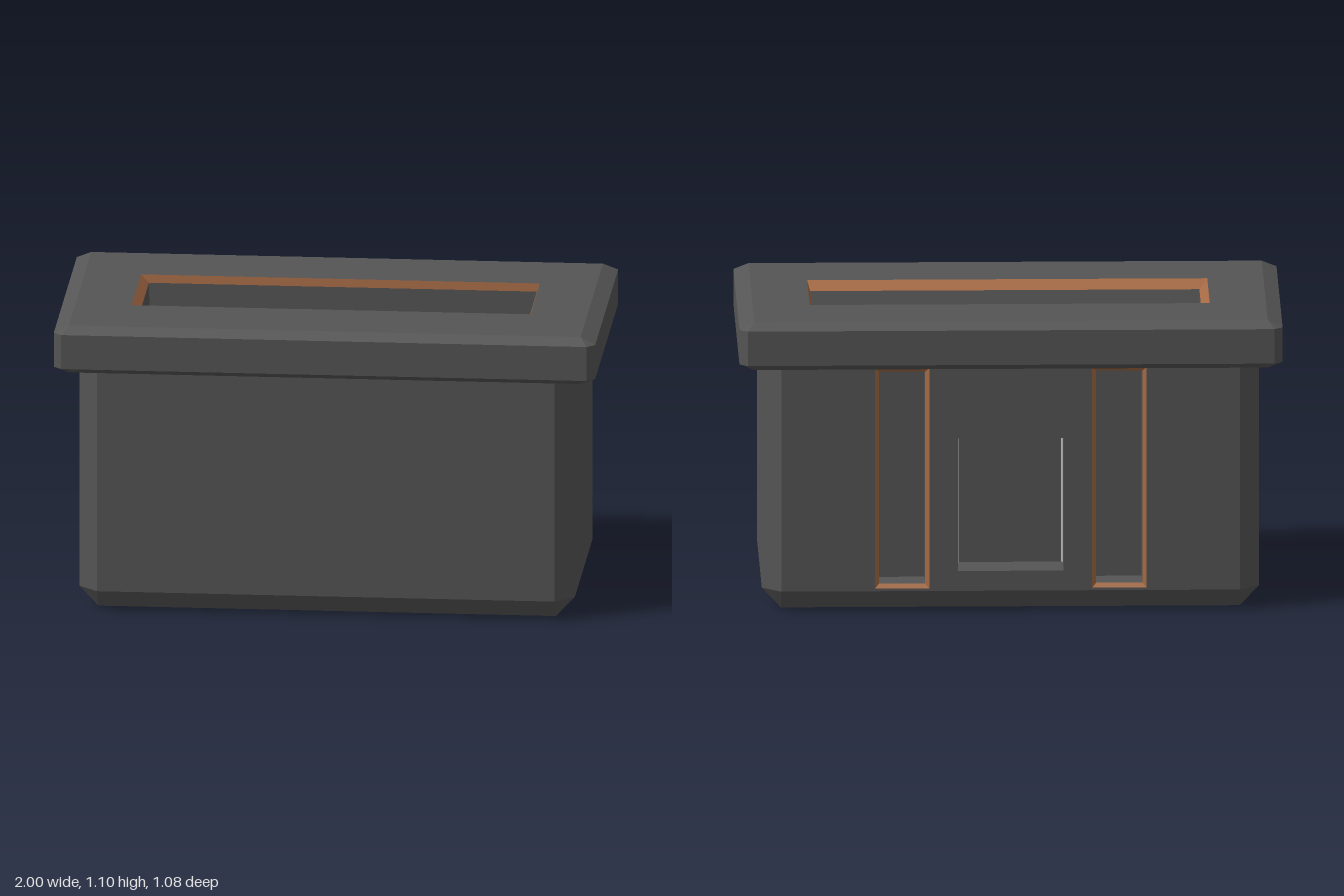
import * as THREE from 'three';

const paint = (color) => new THREE.MeshStandardMaterial({ color, flatShading: true });
const dark = paint(0x555555);
const copper = paint(0xa56a44);
const white = paint(0xffffff);

// Octagonal ring: a rectangle with corners cut by c, at height w
const bevelRing = (hx, hy, c, w) => [
  [-hx + c, -hy, w], [hx - c, -hy, w], [hx, -hy + c, w], [hx, hy - c, w],
  [hx - c, hy, w], [-hx + c, hy, w], [-hx, hy - c, w], [-hx, -hy + c, w],
];

// Plain rectangular ring
const rectRing = (x0, x1, y0, y1, w) => [[x0, y0, w], [x1, y0, w], [x1, y1, w], [x0, y1, w]];

// Joins rings with quads, with optional caps and a test for omitted quads
function loft(rings, { capStart = false, capEnd = false, skip = () => false } = {}) {
  const pos = [];
  for (let r = 0; r < rings.length - 1; r++) {
    const n = rings[r].length;
    for (let i = 0; i < n; i++) {
      if (skip(r, i)) continue;
      const j = (i + 1) % n;
      const a = rings[r][i], b = rings[r][j], c = rings[r + 1][j], d = rings[r + 1][i];
      pos.push(...a, ...b, ...c, ...a, ...c, ...d);
    }
  }
  const fan = (ring) => {
    for (let i = 1; i < ring.length - 1; i++) pos.push(...ring[0], ...ring[i], ...ring[i + 1]);
  };
  if (capStart) fan([...rings[0]].reverse());
  if (capEnd) fan(rings[rings.length - 1]);
  const geo = new THREE.BufferGeometry();
  geo.setAttribute('position', new THREE.Float32BufferAttribute(pos, 3));
  geo.computeVertexNormals();
  return geo;
}

// Flat rectangular panel with rectangular holes
function panel(x0, x1, y0, y1, holes) {
  const corners = (a, b, c, d) => rectRing(a, b, c, d, 0).map(([x, y]) => new THREE.Vector2(x, y));
  const shape = new THREE.Shape(corners(x0, x1, y0, y1));
  for (const h of holes) shape.holes.push(new THREE.Path(corners(...h).reverse()));
  return new THREE.ShapeGeometry(shape);
}

export function createModel() {
  const model = new THREE.Group();
  const add = (parent, name, geo, mat) => {
    const mesh = new THREE.Mesh(geo, mat);
    mesh.name = name;
    parent.add(mesh);
    return mesh;
  };

  // Upright parts are drawn in plan and stood up
  const upright = new THREE.Group();
  upright.name = 'casing';
  upright.rotation.x = -Math.PI / 2;
  model.add(upright);

  // Body with bevelled edges, left open where the back panel fits
  add(upright, 'body', loft([
    bevelRing(0.845, 0.39, 0, 0),
    bevelRing(0.915, 0.46, 0.07, 0.075),
    bevelRing(0.915, 0.46, 0.07, 0.92),
  ], { capStart: true, skip: (r, i) => r === 1 && i === 4 }), dark);

  // Lid rim
  add(upright, 'lidRim', loft([
    bevelRing(0.945, 0.495, 0, 0.92),
    bevelRing(1, 0.54, 0.03, 0.945),
    bevelRing(1, 0.54, 0.03, 1.075),
    bevelRing(0.945, 0.495, 0, 1.1),
  ], { capStart: true }), dark);

  // Lid top with its sunken tray
  const mouth = [-0.738, 0.735, -0.205, 0.21];
  const lip = [-0.708, 0.725, -0.155, 0.205];
  add(upright, 'lidTop', panel(-0.945, 0.945, -0.495, 0.495, [mouth]), dark).position.z = 1.1;
  add(upright, 'trayBevel', loft([rectRing(...mouth, 1.1), rectRing(...lip, 1.07)]), copper);
  add(upright, 'tray', loft([
    rectRing(...lip, 1.07),
    rectRing(-0.706, 0.723, -0.13, 0.203, 0.98),
  ], { capEnd: true }), dark);

  // Back panel, drawn facing +z and turned round
  const back = new THREE.Group();
  back.name = 'back';
  back.rotation.y = Math.PI;
  back.position.z = -0.46;
  model.add(back);

  const grooves = [[-0.5, -0.3, 0.085, 0.915], [0.3, 0.5, 0.085, 0.915]];
  const windowRect = [-0.195, 0.195, 0.15, 0.65];
  add(back, 'backPanel', panel(-0.845, 0.845, 0.075, 0.92, [...grooves, windowRect]), dark);

  // Vertical grooves with coloured bevels
  const b = 0.015;
  for (const g of grooves) {
    const inner = [g[0] + b, g[1] - b, g[2] + b, g[3] - b];
    add(back, 'grooveBevel', loft([rectRing(...g, 0), rectRing(...inner, -b)]), copper);
    add(back, 'groove', loft([rectRing(...inner, -b), rectRing(...inner, -0.13)], { capEnd: true }), dark);
  }

  // Window recess with a light strip down each side
  add(back, 'windowRecess', loft([
    rectRing(...windowRect, 0), rectRing(...windowRect, -0.15),
  ], { capEnd: true }), dark);
  for (const s of [-1, 1]) {
    add(back, 'lightStrip', new THREE.BoxGeometry(0.006, 0.49, 0.03), white)
      .position.set(s * 0.192, 0.4, -0.135);
  }
  return model;
}
